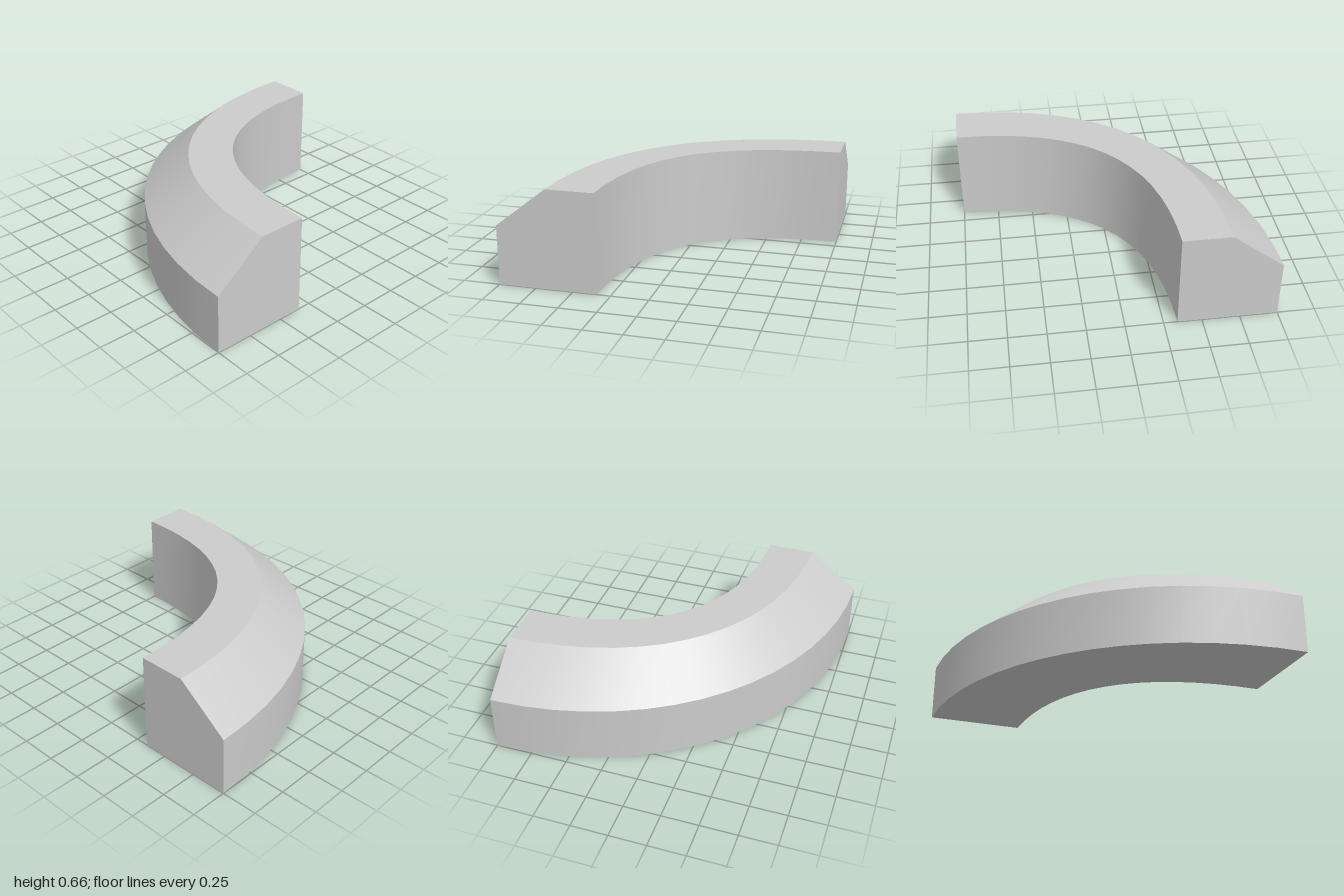
import * as THREE from 'three';

const SEGMENTS = 16;

// Profile corners: radius from the corner (1, 1), height, and curve handle length
const PROFILE = [
  { r: 2.0, y: 0, k: 0.58 },
  { r: 2.0, y: 0.4, k: 0.58 },
  { r: 1.66, y: 0.664, k: 0.628 },
  { r: 1.34, y: 0.664, k: 0.672 },
  { r: 1.34, y: 0, k: 0.672 },
];

// Quarter-turn rail followed by one profile corner
function rail({ r, y, k }) {
  return new THREE.CubicBezierCurve3(
    new THREE.Vector3(1 - r, y, 1),
    new THREE.Vector3(1 - r, y, 1 - k * r),
    new THREE.Vector3(1 - k * r, y, 1 - r),
    new THREE.Vector3(1, y, 1 - r),
  ).getPoints(SEGMENTS);
}

function makeMesh(name, points, index, material) {
  const geometry = new THREE.BufferGeometry().setFromPoints(points);
  geometry.setIndex(index);
  geometry.computeVertexNormals();
  const mesh = new THREE.Mesh(geometry, material);
  mesh.name = name;
  return mesh;
}

export function createModel() {
  const group = new THREE.Group();
  group.name = 'curvedBlock';
  const material = new THREE.MeshStandardMaterial({ color: 0xcccccc });
  const rails = PROFILE.map(rail);
  const n = rails.length;

  // Long faces: smooth along the bend, sharp at the profile corners
  const names = ['outerWall', 'slopedTop', 'flatTop', 'innerWall', 'underside'];
  names.forEach((name, j) => {
    const index = [];
    const m = SEGMENTS + 1;
    for (let i = 0; i < SEGMENTS; i++) {
      index.push(i, m + i, i + 1, m + i, m + i + 1, i + 1);
    }
    group.add(makeMesh(name, [...rails[j], ...rails[(j + 1) % n]], index, material));
  });

  // Flat five-sided ends
  const frontCap = [], sideCap = [];
  for (let j = 1; j < n - 1; j++) {
    frontCap.push(0, j + 1, j);
    sideCap.push(0, j, j + 1);
  }
  group.add(makeMesh('frontEnd', rails.map((p) => p[0]), frontCap, material));
  group.add(makeMesh('leftEnd', rails.map((p) => p[SEGMENTS]), sideCap, material));
  return group;
}
